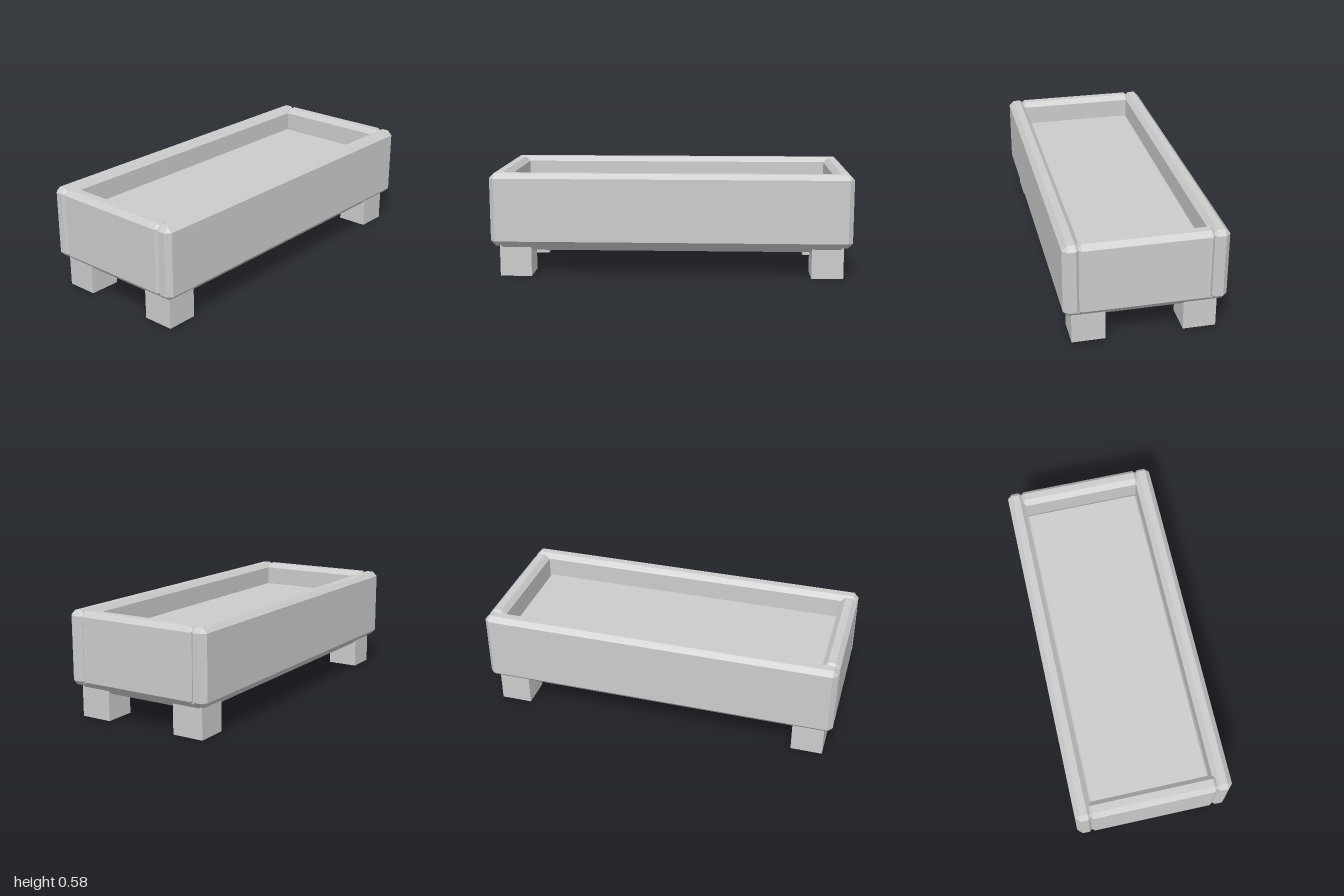
import * as THREE from 'three';
import { ConvexGeometry } from 'three/addons/geometries/ConvexGeometry.js';

// Box between two corners with every edge cut at 45 degrees by c
function chamferBox(min, max, c) {
  const mid = min.map((v, i) => (v + max[i]) / 2);
  const half = min.map((v, i) => (max[i] - v) / 2);
  const points = [];
  for (const sx of [-1, 1]) for (const sy of [-1, 1]) for (const sz of [-1, 1]) {
    const s = [sx, sy, sz];
    for (let axis = 0; axis < 3; axis++) {
      const p = s.map((sign, i) => mid[i] + sign * (half[i] - (i === axis ? 0 : c)));
      points.push(new THREE.Vector3(...p));
    }
  }
  return new ConvexGeometry(points);
}

export function createModel() {
  const group = new THREE.Group();
  const grey = new THREE.MeshStandardMaterial({ color: 0xcccccc });
  grey.name = 'grey';
  grey.flatShading = true;

  const add = (name, geometry) => {
    const mesh = new THREE.Mesh(geometry, grey);
    mesh.name = name;
    group.add(mesh);
    return mesh;
  };

  // Wall panels
  const bevel = 0.027;
  const bottom = 0.178, top = 0.583;
  add('leftWall', chamferBox([0.335, bottom, -1], [0.43, top, 1], bevel));
  add('rightWall', chamferBox([-0.43, bottom, -1], [-0.335, top, 1], bevel));
  add('frontWall', chamferBox([-0.36, bottom, 0.905], [0.36, top, 1], bevel));
  add('backWall', chamferBox([-0.36, bottom, -1], [0.36, top, -0.905], bevel));

  // Base slab under the walls and the raised filling between them
  add('baseSlab', chamferBox([-0.41, 0.147, -0.98], [0.41, 0.3, 0.98], 0.043));
  add('filling', chamferBox([-0.352, 0.25, -0.917], [0.352, 0.452, 0.917], bevel));

  // Four square legs
  for (const [xName, sx] of [['Left', 1], ['Right', -1]]) {
    for (const [zName, sz] of [['front', 1], ['back', -1]]) {
      const leg = add(zName + xName + 'Leg', new THREE.BoxGeometry(0.178, 0.2, 0.176));
      leg.position.set(sx * 0.296, 0.1, sz * 0.867);
    }
  }
  return group;
}
